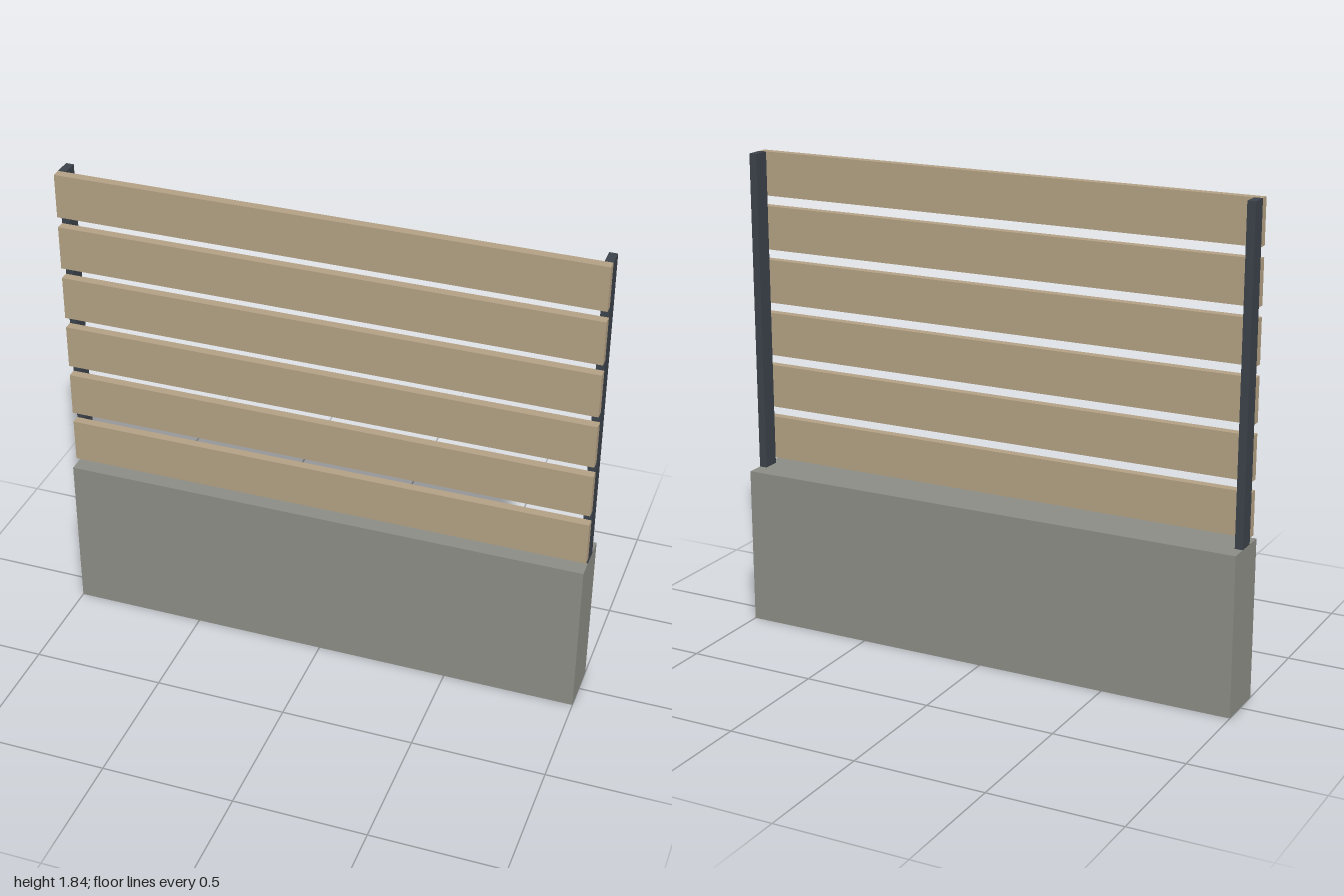
import * as THREE from 'three';

export function createModel() {
  const group = new THREE.Group();
  const material = (name, color) => {
    const m = new THREE.MeshStandardMaterial({ color });
    m.name = name;
    return m;
  };
  const concrete = material('concrete grey', 0x8b8c84);
  const timber = material('timber tan', 0xb2a083);
  const steel = material('dark steel', 0x3b424a);

  // Box placed by its bottom centre
  const box = (name, mat, w, h, d, x, y, z) => {
    const mesh = new THREE.Mesh(new THREE.BoxGeometry(w, h, d), mat);
    mesh.name = name;
    mesh.position.set(x, y + h / 2, z);
    group.add(mesh);
  };

  const wallHeight = 0.61;
  const top = 1.835;

  // Low base wall
  box('baseWall', concrete, 2, wallHeight, 0.2, 0, 0, 0);

  // Posts standing on the wall at both ends
  for (const side of [-1, 1]) {
    box(side > 0 ? 'leftPost' : 'rightPost', steel,
      0.03, top - wallHeight, 0.066, side * 0.985, wallHeight, 0);
  }

  // Horizontal slats fixed to the front of the posts
  const slatHeight = 0.167;
  const pitch = 0.207;
  for (let i = 0; i < 6; i++) {
    box(`slat${i + 1}`, timber, 2, slatHeight, 0.034,
      0, top - slatHeight - (5 - i) * pitch, 0.05);
  }

  return group;
}
